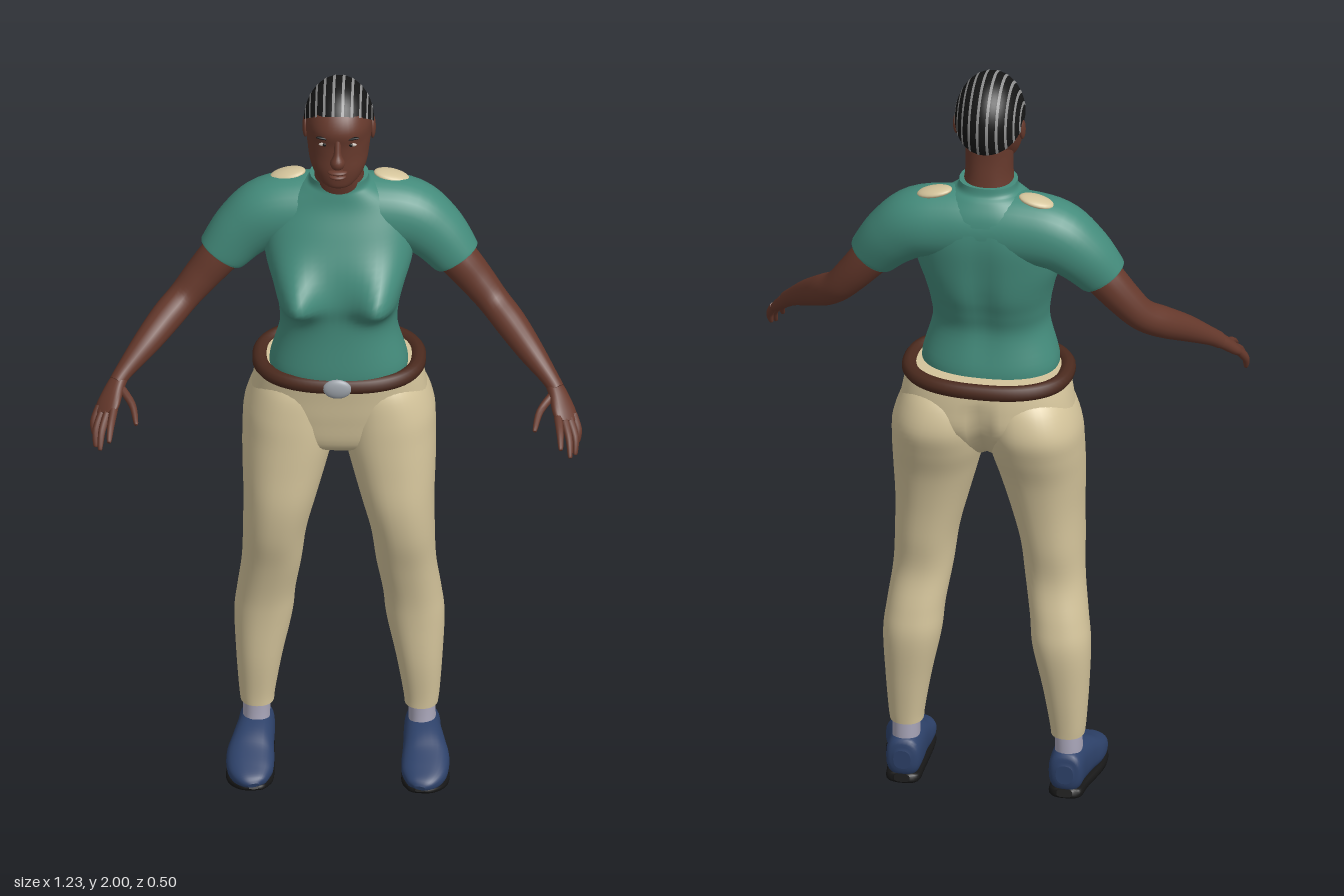
import * as THREE from 'three';

const mat = (name, color, side = THREE.FrontSide) => {
  const m = new THREE.MeshStandardMaterial({ color, side });
  m.name = name;
  return m;
};

// Catmull-Rom through rows of numbers, k steps per span
function smooth(rows, k = 5) {
  const out = [];
  for (let i = 0; i < rows.length - 1; i++) {
    const p = [rows[Math.max(i - 1, 0)], rows[i], rows[i + 1], rows[Math.min(i + 2, rows.length - 1)]];
    for (let s = 0; s < k; s++) {
      const t = s / k;
      out.push(p[1].map((b, n) => {
        const a = p[0][n], c = p[2][n], d = p[3][n];
        return b + 0.5 * t * (c - a + t * (2 * a - 5 * b + 4 * c - d + t * (3 * (b - c) + d - a)));
      }));
    }
  }
  out.push(rows[rows.length - 1]);
  return out;
}

// Skin over rows of points; closed rows are capped at both ends
function skin(rows, closed = true) {
  const n = rows[0].length, pos = rows.flat(), idx = [];
  const cols = closed ? n : n - 1;
  for (let i = 0; i < rows.length - 1; i++) for (let j = 0; j < cols; j++) {
    const a = i * n + j, b = i * n + (j + 1) % n, c = a + n, d = b + n;
    idx.push(a, c, b, b, c, d);
  }
  if (closed) [0, rows.length - 1].forEach((r) => {
    const start = pos.length;
    const mid = rows[r].reduce((s, p) => s.add(p), new THREE.Vector3()).divideScalar(n);
    pos.push(...rows[r].map((p) => p.clone()), mid);
    for (let j = 0; j < n; j++) {
      const a = start + j, b = start + (j + 1) % n;
      idx.push(...(r ? [a, start + n, b] : [a, b, start + n]));
    }
  });
  const g = new THREE.BufferGeometry().setFromPoints(pos);
  g.setIndex(idx);
  g.computeVertexNormals();
  return g;
}

const pw = (v, p) => Math.sign(v) * Math.abs(v) ** (2 / p);
const circle = (n, f) => Array.from({ length: n }, (_, j) => f(j / n * Math.PI * 2));

// Horizontal sections going up: [y, centreX, halfWidth, frontZ, backZ]
function stack(rows, p = 2.2, shape = (v) => v, n = 40) {
  return skin(smooth(rows).map(([y, cx, rx, zf, zb]) => circle(n, (t) => shape(new THREE.Vector3(
    cx + rx * pw(Math.cos(t), p), y, (zf + zb) / 2 + (zf - zb) / 2 * pw(Math.sin(t), p))))));
}

// Sections across a path: [x, y, z, ru, rv]; rv lies along ref
function limb(rows, ref = [0, 0, 1], p = 2, n = 20, k = 5) {
  const pts = smooth(rows, k), at = (i) => new THREE.Vector3(...pts[Math.min(Math.max(i, 0), pts.length - 1)].slice(0, 3));
  return skin(pts.map((r, i) => {
    const T = at(i + 1).sub(at(i - 1)).normalize();
    const U = T.clone().cross(new THREE.Vector3(...ref)).normalize(), V = U.clone().cross(T);
    return circle(n, (t) => at(i).addScaledVector(U, r[3] * pw(Math.cos(t), p)).addScaledVector(V, r[4] * pw(Math.sin(t), p)));
  }));
}

const blob = (x, y, z, rx, ry, rz, tilt = 0) =>
  new THREE.SphereGeometry(1, 20, 14).scale(rx, ry, rz).rotateZ(tilt).translate(x, y, z);

function mirrored(g) {
  const m = g.clone().scale(-1, 1, 1), ix = m.index.array;
  for (let i = 0; i < ix.length; i += 3) [ix[i + 1], ix[i + 2]] = [ix[i + 2], ix[i + 1]];
  m.computeVertexNormals();
  return m;
}

export function createModel() {
  const skinTone = mat('skin', 0x66392c), teal = mat('shirt', 0x448c7c), tan = mat('trousers', 0xd4c49b);
  const leather = mat('leather', 0x4b2a1e), navy = mat('shoe', 0x2d4169), lilac = mat('sock', 0xa8a5b8);
  const black = mat('black', 0x161616), grey = mat('braid', 0x8e8e8e), metal = mat('metal', 0x9da3aa), white = mat('eyeWhite', 0xc4bab2);
  const model = new THREE.Group();
  model.name = 'figure';
  const add = (name, g, m) => {
    const mesh = new THREE.Mesh(g, m);
    mesh.name = name;
    model.add(mesh);
  };
  const pair = (name, g, m) => {
    add(name + 'Left', g, m);
    add(name + 'Right', mirrored(g), m);
  };

  // Shirt body with bust and a shallow spine groove
  add('shirtBody', stack([
    [1.17, 0, 0.17, 0.055, -0.175], [1.21, 0, 0.172, 0.06, -0.175], [1.3, 0, 0.148, 0.055, -0.16],
    [1.36, 0, 0.15, 0.055, -0.175], [1.42, 0, 0.162, 0.06, -0.195], [1.5, 0, 0.185, 0.045, -0.205],
    [1.58, 0, 0.185, 0.012, -0.21], [1.645, 0, 0.155, -0.018, -0.198], [1.685, 0, 0.1, -0.028, -0.175],
    [1.7, 0, 0.077, -0.03, -0.16], [1.72, 0, 0.073, -0.03, -0.155]], 2.3, (v) => {
    const front = v.z > -0.06, dy = (v.y - 1.42) / (v.y < 1.42 ? 0.045 : 0.075);
    if (front) v.z += 0.075 * Math.exp(-(((Math.abs(v.x) - 0.108) / 0.055) ** 2) - dy * dy) * Math.min(1, (v.z + 0.06) / 0.06);
    else v.z += 0.014 * Math.exp(-((v.x / 0.035) ** 2)) * Math.max(0, 1 - Math.abs(v.y - 1.42) / 0.24);
    return v;
  }, 64), teal);
  // Shoulders and short sleeves as one sweep
  const half = [[0.09, 1.6, -0.115, 0.095, 0.09], [0.175, 1.588, -0.115, 0.09, 0.086],
    [0.238, 1.543, -0.11, 0.078, 0.075], [0.285, 1.488, -0.1, 0.066, 0.062], [0.295, 1.475, -0.098, 0.061, 0.058]];
  add('shouldersAndSleeves', limb([...half.map(([x, ...r]) => [-x, ...r]).reverse(), [0, 1.6, -0.115, 0.095, 0.09], ...half], [0, 0, 1], 2.1, 32), teal);
  pair('shoulderPatch', blob(0.13, 1.688, -0.132, 0.046, 0.012, 0.029, -0.22), tan);

  // Trousers
  add('hips', stack([
    [0.93, 0, 0.05, -0.05, -0.11], [0.97, 0, 0.17, 0.01, -0.17], [1.05, 0, 0.22, 0.028, -0.228],
    [1.12, 0, 0.216, 0.036, -0.232], [1.19, 0, 0.2, 0.045, -0.222]], 2.4, (v) => {
    if (v.z < -0.1) v.z += 0.03 * Math.exp(-((v.x / 0.025) ** 2)) * Math.min(1, Math.max(0, (1.15 - v.y) / 0.08));
    return v;
  }, 64), tan);
  pair('trouserLeg', stack([
    [0.165, 0.205, 0.042, -0.058, -0.152], [0.2, 0.205, 0.046, -0.055, -0.157], [0.3, 0.2, 0.058, -0.042, -0.172],
    [0.42, 0.19, 0.073, -0.035, -0.187], [0.5, 0.182, 0.073, -0.025, -0.177], [0.6, 0.168, 0.075, 0, -0.157],
    [0.7, 0.16, 0.08, 0.03, -0.168], [0.8, 0.147, 0.092, 0.045, -0.18], [0.9, 0.135, 0.107, 0.043, -0.2],
    [0.98, 0.125, 0.117, 0.04, -0.228], [1.05, 0.12, 0.117, 0.036, -0.245], [1.12, 0.11, 0.1, 0.025, -0.225],
    [1.17, 0.1, 0.07, 0, -0.18]]), tan);

  // Belt and buckle
  const beltPath = new THREE.CatmullRomCurve3(circle(32, (t) => new THREE.Vector3(
    0.198 * pw(Math.cos(t), 2.4), 1.18, -0.088 + 0.142 * pw(Math.sin(t), 2.4))), true);
  add('belt', new THREE.TubeGeometry(beltPath, 72, 0.02, 10, true), leather);
  add('buckle', blob(0, 1.181, 0.07, 0.036, 0.027, 0.012), metal);

  // Arms and hands
  pair('arm', limb([
    [0.25, 1.52, -0.105, 0.05, 0.05], [0.3, 1.465, -0.1, 0.05, 0.05], [0.345, 1.41, -0.092, 0.045, 0.046],
    [0.387, 1.36, -0.075, 0.04, 0.042], [0.43, 1.322, -0.035, 0.04, 0.041], [0.48, 1.278, 0.022, 0.034, 0.034],
    [0.53, 1.232, 0.075, 0.023, 0.024], [0.55, 1.21, 0.098, 0.02, 0.022]]), skinTone);
  const across = [-0.04, 0.01, 0.035];
  pair('palm', limb([[0.54, 1.22, 0.085, 0.018, 0.02], [0.555, 1.2, 0.11, 0.017, 0.026],
    [0.57, 1.172, 0.142, 0.015, 0.034], [0.578, 1.155, 0.163, 0.01, 0.03]], across, 2.3), skinTone);
  [ // base, bend, tip
    ['thumb', [0.54, 1.2, 0.11], [0.51, 1.178, 0.155], [0.499, 1.155, 0.205]],
    ['indexFinger', [0.556, 1.168, 0.165], [0.562, 1.148, 0.21], [0.565, 1.125, 0.245]],
    ['middleFinger', [0.57, 1.162, 0.16], [0.584, 1.13, 0.202], [0.588, 1.095, 0.232]],
    ['ringFinger', [0.582, 1.16, 0.15], [0.599, 1.123, 0.183], [0.6, 1.088, 0.205]],
    ['littleFinger', [0.592, 1.162, 0.138], [0.606, 1.13, 0.158], [0.605, 1.102, 0.17]],
  ].forEach(([name, a, b, c]) => pair(name, limb([[...a, 0.011, 0.011], [...b, 0.0095, 0.0095],
    [...c, 0.006, 0.006], [...c.map((v, i) => v + (v - b[i]) * 0.08), 0.001, 0.001]], across, 2, 10, 4), skinTone));

  // Socks and shoes
  pair('sock', stack([[0.07, 0.207, 0.034, -0.05, -0.15], [0.13, 0.207, 0.034, -0.06, -0.15], [0.2, 0.205, 0.034, -0.062, -0.148]]), lilac);
  pair('shoe', limb([
    [0.207, 0.07, -0.165, 0.025, 0.022], [0.207, 0.07, -0.152, 0.052, 0.042], [0.208, 0.072, -0.1, 0.058, 0.047],
    [0.214, 0.068, -0.045, 0.052, 0.053], [0.219, 0.056, 0.005, 0.041, 0.06], [0.217, 0.046, 0.06, 0.029, 0.056],
    [0.211, 0.04, 0.098, 0.018, 0.036], [0.208, 0.037, 0.112, 0.006, 0.014]], [1, 0, 0], 2.5, 28), navy);
  pair('sole', limb([
    [0.207, 0.019, -0.166, 0.01, 0.02], [0.207, 0.016, -0.152, 0.015, 0.042], [0.209, 0.015, -0.1, 0.015, 0.047],
    [0.219, 0.015, 0.005, 0.014, 0.06], [0.217, 0.019, 0.06, 0.012, 0.056], [0.21, 0.026, 0.1, 0.009, 0.034],
    [0.208, 0.03, 0.111, 0.004, 0.012]], [1, 0, 0], 3, 24), black);

  // Neck, head and face
  add('neck', stack([[1.69, 0, 0.066, -0.03, -0.152], [1.74, 0, 0.06, -0.018, -0.145], [1.79, 0, 0.06, -0.02, -0.14],
    [1.85, 0, 0.06, -0.03, -0.14]]), skinTone);
  add('head', stack([
    [1.742, 0, 0.024, 0.022, -0.03], [1.752, 0, 0.042, 0.034, -0.06], [1.772, 0, 0.06, 0.038, -0.09], [1.8, 0, 0.072, 0.04, -0.118],
    [1.835, 0, 0.078, 0.038, -0.15], [1.87, 0, 0.082, 0.038, -0.164], [1.91, 0, 0.081, 0.042, -0.168],
    [1.95, 0, 0.067, 0.02, -0.152], [1.975, 0, 0.045, -0.02, -0.115], [1.988, 0, 0.012, -0.055, -0.075]]), skinTone);
  add('nose', limb([[0, 1.89, 0.034, 0.008, 0.008], [0, 1.855, 0.043, 0.01, 0.013], [0, 1.833, 0.047, 0.019, 0.021],
    [0, 1.82, 0.042, 0.013, 0.012]]), skinTone);
  add('upperLip', blob(0, 1.799, 0.037, 0.025, 0.007, 0.016), skinTone);
  add('lowerLip', blob(0, 1.786, 0.036, 0.022, 0.007, 0.016), skinTone);
  pair('eye', blob(0.034, 1.876, 0.03, 0.014, 0.005, 0.004), white);
  pair('iris', blob(0.033, 1.876, 0.032, 0.005, 0.005, 0.004), black);
  pair('brow', blob(0.035, 1.895, 0.033, 0.02, 0.0035, 0.005, 0.15), black);
  pair('ear', blob(0, 0, 0, 0.008, 0.03, 0.018).rotateX(-0.2).translate(0.084, 1.862, -0.082), skinTone);

  // Close-cropped hair: a dark cap with pale partings running front to back
  const hair = (a0, a1, n, s) => skin(Array.from({ length: n + 1 }, (_, i) => {
    const a = a0 + (a1 - a0) * i / n, r = Math.cos(a) * s;
    return Array.from({ length: 33 }, (_, j) => {
      const f = -0.95 + 3.1 * j / 32;
      return new THREE.Vector3(0.088 * s * Math.sin(a), 1.885 + 0.115 * r * Math.cos(f), -0.07 - 0.112 * r * Math.sin(f));
    });
  }), false);
  add('hairCap', hair(-1.55, 1.55, 40, 1), black);
  for (let k = -5; k < 5; k++) {
    const a = (k + 0.5) * 0.27;
    add('hairParting', hair(a - 0.04, a + 0.04, 2, 1.008), grey);
  }
  return model;
}
